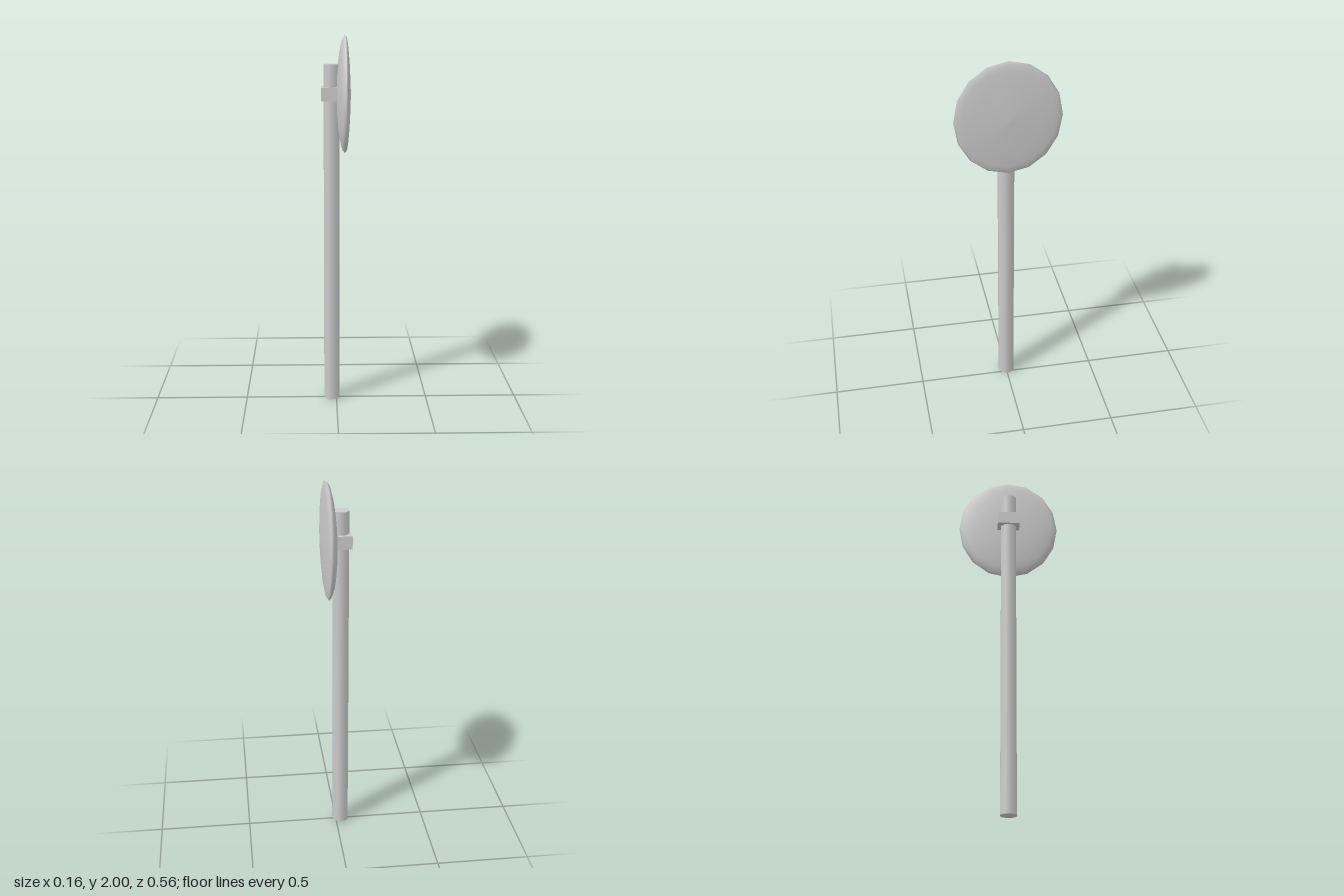
import * as THREE from 'three';

export function createModel() {
  const group = new THREE.Group();
  const material = new THREE.MeshStandardMaterial({ color: 0xcccccc });
  const add = (name, geometry, x, y, z) => {
    const mesh = new THREE.Mesh(geometry, material);
    mesh.name = name;
    mesh.position.set(x, y, z);
    group.add(mesh);
  };

  // Eight-sided post
  const post = new THREE.CylinderGeometry(0.045, 0.045, 1.85, 8);
  post.rotateY(Math.PI / 8);
  add('post', post, -0.026, 0.925, 0);

  // Clamp block holding the mirror to the post
  add('clamp', new THREE.BoxGeometry(0.1, 0.07, 0.123), -0.03, 1.695, 0);

  // Oval convex mirror: domed back, rounded rim, shallow domed face (radius, depth)
  const profile = [
    [0, 0], [0.06, 0.001], [0.12, 0.004], [0.18, 0.009], [0.23, 0.016],
    [0.27, 0.024], [0.295, 0.033], [0.31, 0.045],
    [0.301, 0.053], [0.27, 0.059], [0.2, 0.066], [0.1, 0.072], [0, 0.076],
  ].map(([r, d]) => new THREE.Vector2(r, d));
  const mirror = new THREE.LatheGeometry(profile, 16);
  mirror.rotateZ(-Math.PI / 2);
  mirror.scale(1, 1, 0.9);
  add('mirror', mirror, 0, 1.69, 0);

  return group;
}
